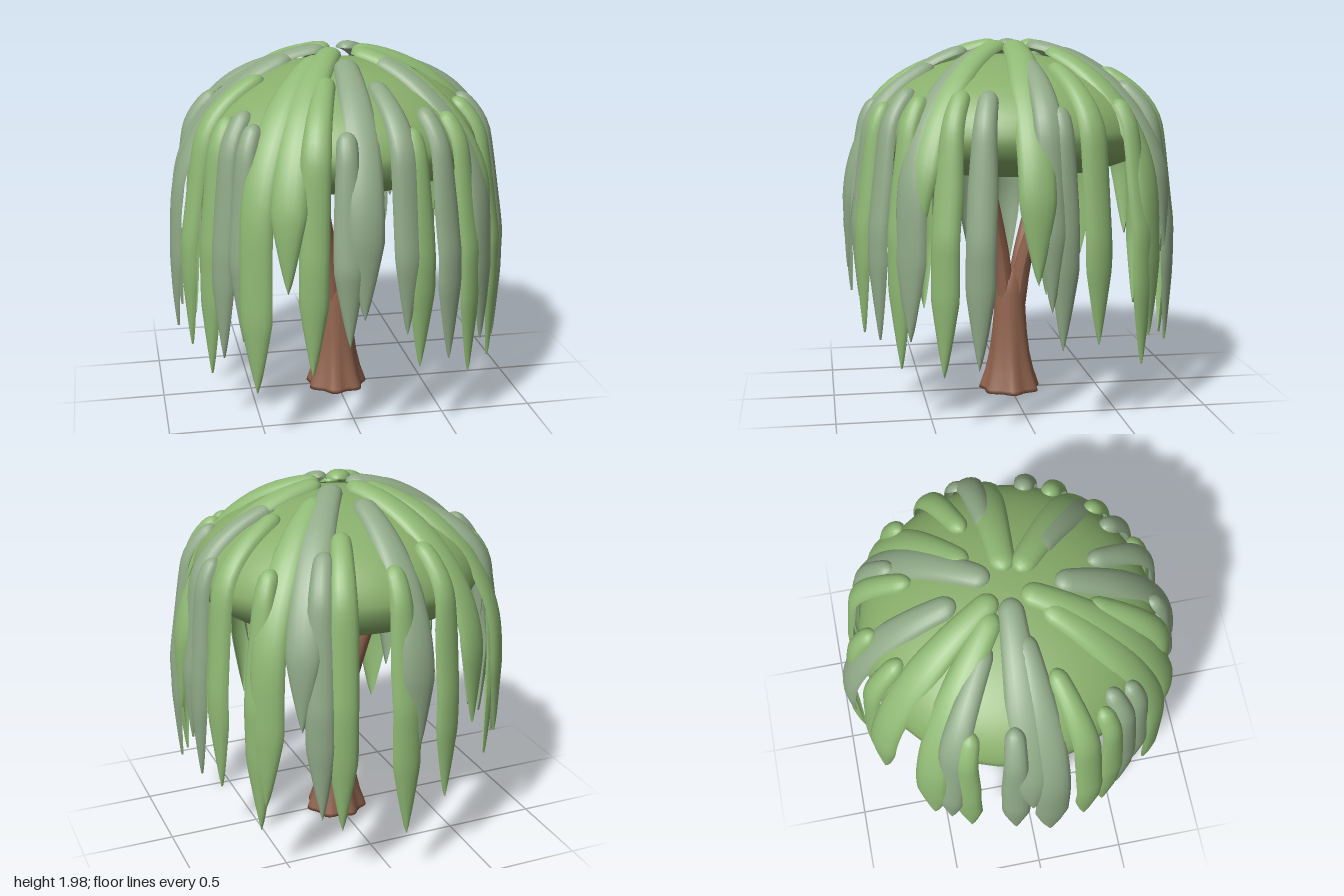
import * as THREE from 'three';

const mat = (name, color, side = THREE.FrontSide) => {
  const m = new THREE.MeshStandardMaterial({ color, side });
  m.name = name;
  return m;
};

// Side path of a frond: an elliptical arch over the crown, then a drop to tipY
function frondPath(r0, tipY, { R, rise, cy, drift }) {
  const pts = [], a0 = Math.asin(r0 / R), a1 = 1.5;
  const n = Math.max(2, Math.ceil((a1 - a0) * 8));
  for (let i = 0; i <= n; i++) {
    const a = a0 + (a1 - a0) * i / n;
    pts.push(new THREE.Vector2(R * Math.sin(a), cy + rise * Math.cos(a)));
  }
  const yTop = pts[n].y, drop = yTop - tipY, m = Math.max(1, Math.round(drop / 0.1));
  for (let i = 1; i <= m; i++) {
    const d = drop * i / m;
    pts.push(new THREE.Vector2(R + drift * Math.min(1, d / 0.5), yTop - d));
  }
  const path = new THREE.SplineCurve(pts);
  path.arcLengthDivisions = 300;
  return path;
}

// Strip with a domed cross-section, rounded start and pointed tip
function frondGeometry(angle, path, width, sway) {
  const ROWS = 34, COLS = 8, len = path.getLength();
  const dir = new THREE.Vector3(Math.cos(angle), 0, Math.sin(angle));
  const sideways = new THREE.Vector3(-Math.sin(angle), 0, Math.cos(angle));
  const pos = [], idx = [];
  for (let i = 0; i <= ROWS; i++) {
    const t = i < 5 ? 0.05 * (i / 5) ** 2 : 0.05 + 0.95 * (i - 5) / (ROWS - 5);
    const s = t * len, p = path.getPointAt(t), tan = path.getTangentAt(t);
    const cap = Math.sqrt(Math.max(0, 1 - (1 - Math.min(1, s / 0.07)) ** 2));
    const grow = 0.65 + 0.35 * Math.min(1, s / 0.55);
    const tip = Math.min(1, (len - s) / 0.4) ** 0.8;
    const w = width / 2 * cap * grow * tip;
    const bulge = 0.045 * cap * (0.25 + 0.75 * tip);
    for (let j = 0; j <= COLS; j++) {
      const th = (j / COLS - 0.5) * Math.PI;
      const n = bulge * Math.cos(th) - 0.018;
      const v = dir.clone().multiplyScalar(p.x - tan.y * n)
        .addScaledVector(sideways, w * Math.sin(th) + sway * t * t);
      pos.push(v.x, p.y + tan.x * n, v.z);
      if (i < ROWS && j < COLS) {
        const a = i * (COLS + 1) + j, b = a + COLS + 1;
        idx.push(a, a + 1, b, a + 1, b + 1, b);
      }
    }
  }
  const g = new THREE.BufferGeometry();
  g.setAttribute('position', new THREE.Float32BufferAttribute(pos, 3));
  g.setIndex(idx);
  g.computeVertexNormals();
  return g;
}

// Tapered limb swept along a curve
function limbGeometry(points, rStart, rEnd) {
  const curve = new THREE.CatmullRomCurve3(points.map(p => new THREE.Vector3(...p)));
  const SEG = 12, SIDES = 10;
  const g = new THREE.TubeGeometry(curve, SEG, 1, SIDES);
  const pos = g.attributes.position, v = new THREE.Vector3();
  for (let i = 0; i < pos.count; i++) {
    const t = Math.floor(i / (SIDES + 1)) / SEG, c = curve.getPointAt(t);
    v.fromBufferAttribute(pos, i).sub(c).multiplyScalar(rStart + (rEnd - rStart) * t).add(c);
    pos.setXYZ(i, v.x, v.y, v.z);
  }
  g.computeVertexNormals();
  return g;
}

export function createModel() {
  const tree = new THREE.Group();
  tree.name = 'weepingTree';
  const bark = mat('bark', 0x91634e);
  const crownGreen = mat('crownGreen', 0x89af6b);
  const leafGreen = mat('leafGreen', 0x8fb874, THREE.DoubleSide);
  const leafGrey = mat('greyGreenLeaf', 0x90a987, THREE.DoubleSide);
  const add = (name, geometry, material, parent = tree) => {
    const m = new THREE.Mesh(geometry, material);
    m.name = name;
    parent.add(m);
  };

  // Trunk with a ridged, flared foot
  const profile = [[0, 0], [0.165, 0], [0.16, 0.02], [0.135, 0.1], [0.115, 0.2], [0.1, 0.32],
    [0.09, 0.45], [0.085, 0.56], [0.078, 0.64], [0.05, 0.7], [0, 0.72]];
  const trunk = new THREE.LatheGeometry(profile.map(p => new THREE.Vector2(...p)), 42);
  const tp = trunk.attributes.position;
  for (let i = 0; i < tp.count; i++) {
    const x = tp.getX(i), y = tp.getY(i), z = tp.getZ(i);
    const k = 1 + 0.08 * Math.cos(7 * Math.atan2(z, x)) * Math.max(0, 1 - y / 0.4);
    tp.setXYZ(i, x * k, y, z * k);
  }
  trunk.computeVertexNormals();
  add('trunk', trunk, bark);

  // Branches rising into the crown
  for (const [x, z] of [[-0.14, 0.18], [0.15, 0.16], [0.13, -0.25], [-0.14, -0.22]]) {
    add('branch', limbGeometry([[x * 0.15, 0.5, z * 0.15], [x * 0.3, 0.75, z * 0.3],
      [x * 0.65, 1.05, z * 0.65], [x * 1.1, 1.38, z * 1.1]], 0.05, 0.03), bark);
  }

  // Domed crown with a shallow underside
  const dome = [[0, 1.25], [0.2, 1.254], [0.4, 1.268], [0.55, 1.29], [0.66, 1.33], [0.74, 1.39]];
  for (let i = 0; i <= 14; i++) {
    const a = i / 14 * Math.PI / 2;
    dome.push([0.78 * Math.cos(a), 1.47 + 0.43 * Math.sin(a)]);
  }
  add('crown', new THREE.LatheGeometry(dome.map(p => new THREE.Vector2(Math.max(0, p[0]), p[1])), 48), crownGreen);

  // Hanging fronds as [angle in degrees, start radius, tip height]
  const green = [
    [0, 0.09, 0.79], [30, 0.66, 0.3], [40, 0.1, 0.95], [49, 0.7, 0.31], [71, 0.74, 0.43], [108, 0.4, 0.4],
    [117, 0.07, 0.86], [128, 0.2, 0.3], [150, 0.72, 0.3], [161, 0.45, 0.42],
    [206, 0.7, 0.35], [218, 0.15, 0.6], [239, 0.08, 0.8], [250, 0.62, 0.4], [269, 0.7, 0.28],
    [290, 0.5, 0.33], [315, 0.25, 0.45], [319, 0.72, 0.3], [338, 0.42, 0.45]];
  const grey = [
    [-5, 0.37, 0.64], [18, 0.66, 0.35], [43, 0.25, 0.47], [60, 0.66, 0.43], [76, 0.45, 0.62],
    [91, 0.24, 0.73], [97, 0.74, 0.58], [135, 0.73, 0.55], [143, 0.68, 0.42], [175, 0.25, 0.45],
    [183, 0.06, 1.0], [188, 0.66, 0.5], [211, 0.3, 0.55], [265, 0.27, 0.75], [298, 0.62, 0.4],
    [303, 0.1, 0.9], [350, 0.74, 0.44]];
  const fronds = new THREE.Group();
  fronds.name = 'fronds';
  tree.add(fronds);
  [[green, leafGreen, 'greenFrond'], [grey, leafGrey, 'greyFrond']].forEach(([list, material, name]) => {
    list.forEach(([deg, r0, tipY], i) => {
      const upper = r0 < 0.3;
      // upper fronds arch freely, lower ones hug the crown
      const shape = upper
        ? { R: 0.9, rise: 0.865, cy: 1.1, drift: 0.02 }
        : { R: 0.825, rise: 0.465, cy: 1.46, drift: 0.06 + 0.02 * Math.sin(i * 2.3) };
      add(name, frondGeometry(deg * Math.PI / 180, frondPath(r0, tipY, shape),
        upper ? 0.19 : 0.155, 0.015 * Math.sin(i * 1.7)), material, fronds);
    });
  });
  return tree;
}
